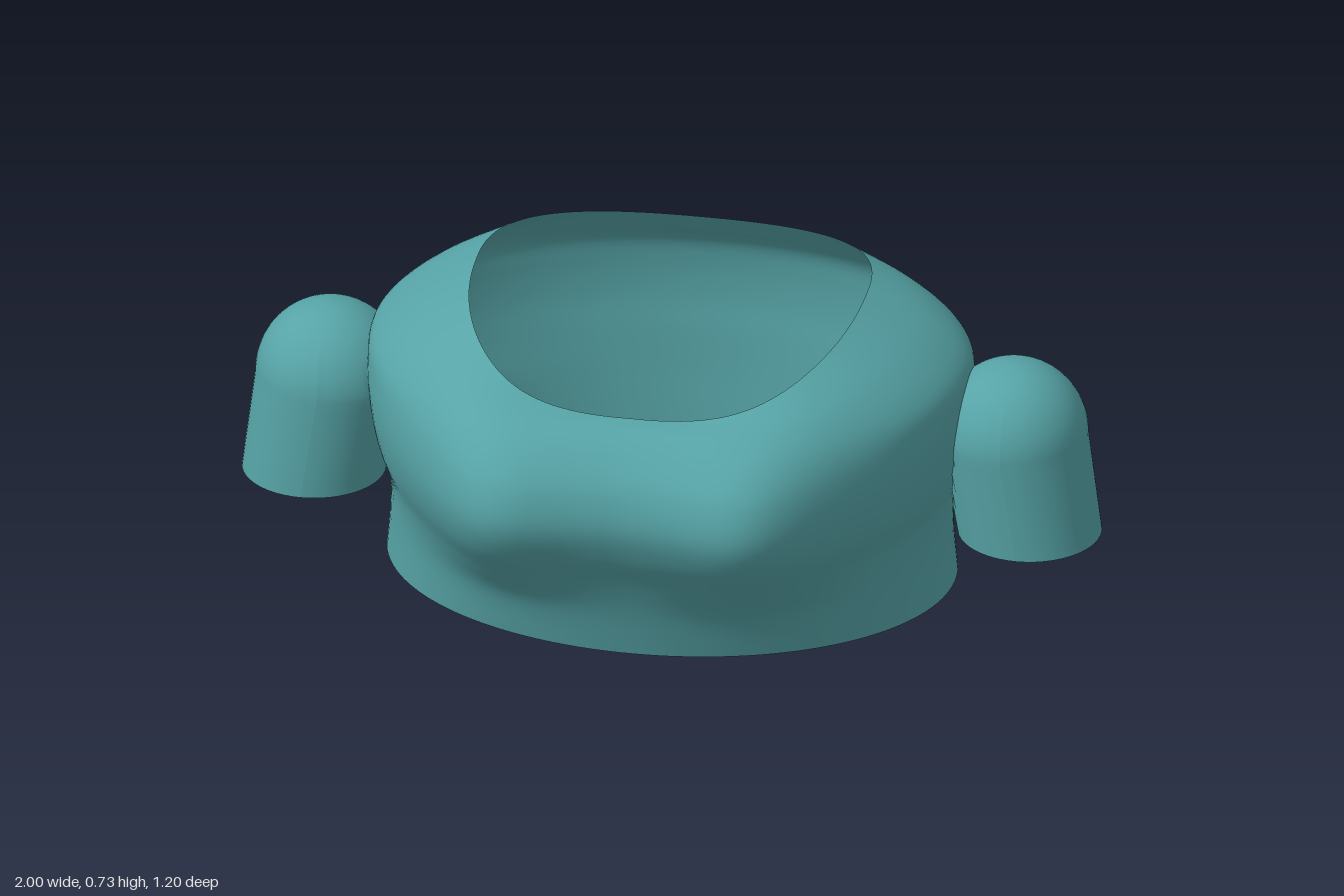
import * as THREE from 'three';

const fabric = new THREE.MeshStandardMaterial({ color: 0x56a3a6, side: THREE.DoubleSide });

// Torso cross-sections from hem to neckline:
// y front, y side, y back, half width, z front, z back, chest swell, squareness
const SECTIONS = [
  [0.00, 0.00, 0.00, 0.66, 0.39, -0.58, 0.00, 2.0],
  [0.12, 0.12, 0.12, 0.65, 0.43, -0.585, 0.015, 2.0],
  [0.22, 0.22, 0.22, 0.652, 0.475, -0.59, 0.07, 2.0],
  [0.32, 0.32, 0.32, 0.68, 0.535, -0.593, 0.105, 2.0],
  [0.41, 0.41, 0.41, 0.695, 0.565, -0.597, 0.115, 2.0],
  [0.50, 0.50, 0.50, 0.70, 0.55, -0.59, 0.11, 2.0],
  [0.57, 0.575, 0.57, 0.685, 0.50, -0.57, 0.095, 2.05],
  [0.61, 0.655, 0.63, 0.595, 0.45, -0.515, 0.065, 2.2],
  [0.62, 0.73, 0.69, 0.455, 0.405, -0.46, 0.04, 2.4],
];
const MID_Z = -0.1;

// Smooth blend of the section values at t in 0..1
function sectionAt(t) {
  const f = t * (SECTIONS.length - 1);
  const i = Math.min(Math.floor(f), SECTIONS.length - 2);
  const u = f - i;
  const row = (k) => SECTIONS[THREE.MathUtils.clamp(k, 0, SECTIONS.length - 1)];
  return row(i).map((b, k) => {
    const a = row(i - 1)[k], c = row(i + 1)[k], d = row(i + 2)[k];
    return b + 0.5 * u * (c - a + u * (2 * a - 5 * b + 4 * c - d + u * (3 * (b - c) + d - a)));
  });
}

function torsoGeometry(rows = 64, cols = 128) {
  const pos = [], index = [];
  for (let i = 0; i <= rows; i++) {
    const [yF, yS, yB, w, zF, zB, swell, n] = sectionAt(i / rows);
    for (let j = 0; j < cols; j++) {
      const a = (j / cols) * Math.PI * 2;
      const s = Math.sin(a), c = Math.cos(a);
      const power = (v) => Math.sign(v) * Math.abs(v) ** (2 / n);
      const x = w * power(s);
      const depth = c > 0 ? zF - MID_Z : MID_Z - zB;
      // two soft swells on the chest with a dip between them
      const lobe = swell * Math.max(0, c) * Math.exp(-(((Math.abs(x) - 0.34) / 0.18) ** 2));
      const y = yS + ((c > 0 ? yF : yB) - yS) * c * c;
      pos.push(x, y, MID_Z + depth * power(c) + lobe);
      if (i < rows) {
        const p = i * cols + j, q = i * cols + ((j + 1) % cols);
        index.push(p, q, p + cols, q, q + cols, p + cols);
      }
    }
  }
  const g = new THREE.BufferGeometry();
  g.setAttribute('position', new THREE.Float32BufferAttribute(pos, 3));
  g.setIndex(index);
  g.computeVertexNormals();
  return g;
}

// Domed short sleeve, open below, leaning outward and flattened against the torso
function sleeveGeometry(side) {
  const profile = [];
  for (let i = 0; i <= 10; i++) profile.push(new THREE.Vector2(0.166 + 0.006 * (i / 10), 0.155 + 0.025 * i));
  for (let i = 1; i <= 20; i++) {
    const a = (i / 20) * Math.PI / 2;
    profile.push(new THREE.Vector2(Math.max(0, 0.172 * Math.cos(a)), 0.405 + 0.175 * Math.sin(a)));
  }
  const g = new THREE.LatheGeometry(profile, 48);
  const p = g.attributes.position;
  for (let i = 0; i < p.count; i++) {
    const y = p.getY(i);
    const centre = 0.797 + 0.15 * Math.max(0, 0.405 - y);
    const inner = 0.655 + 0.02 * Math.min(1, y / 0.4);
    // the start angle is turned so both sleeves mirror exactly
    p.setXYZ(i, side * Math.max(inner, centre + side * p.getX(i)), y, p.getZ(i) - 0.095);
  }
  g.computeVertexNormals();
  return g;
}

export function createModel() {
  const group = new THREE.Group();
  group.name = 'croppedTop';
  const add = (name, geometry) => {
    const mesh = new THREE.Mesh(geometry, fabric);
    mesh.name = name;
    group.add(mesh);
  };
  add('torso', torsoGeometry());
  add('leftSleeve', sleeveGeometry(1));
  add('rightSleeve', sleeveGeometry(-1));
  return group;
}
